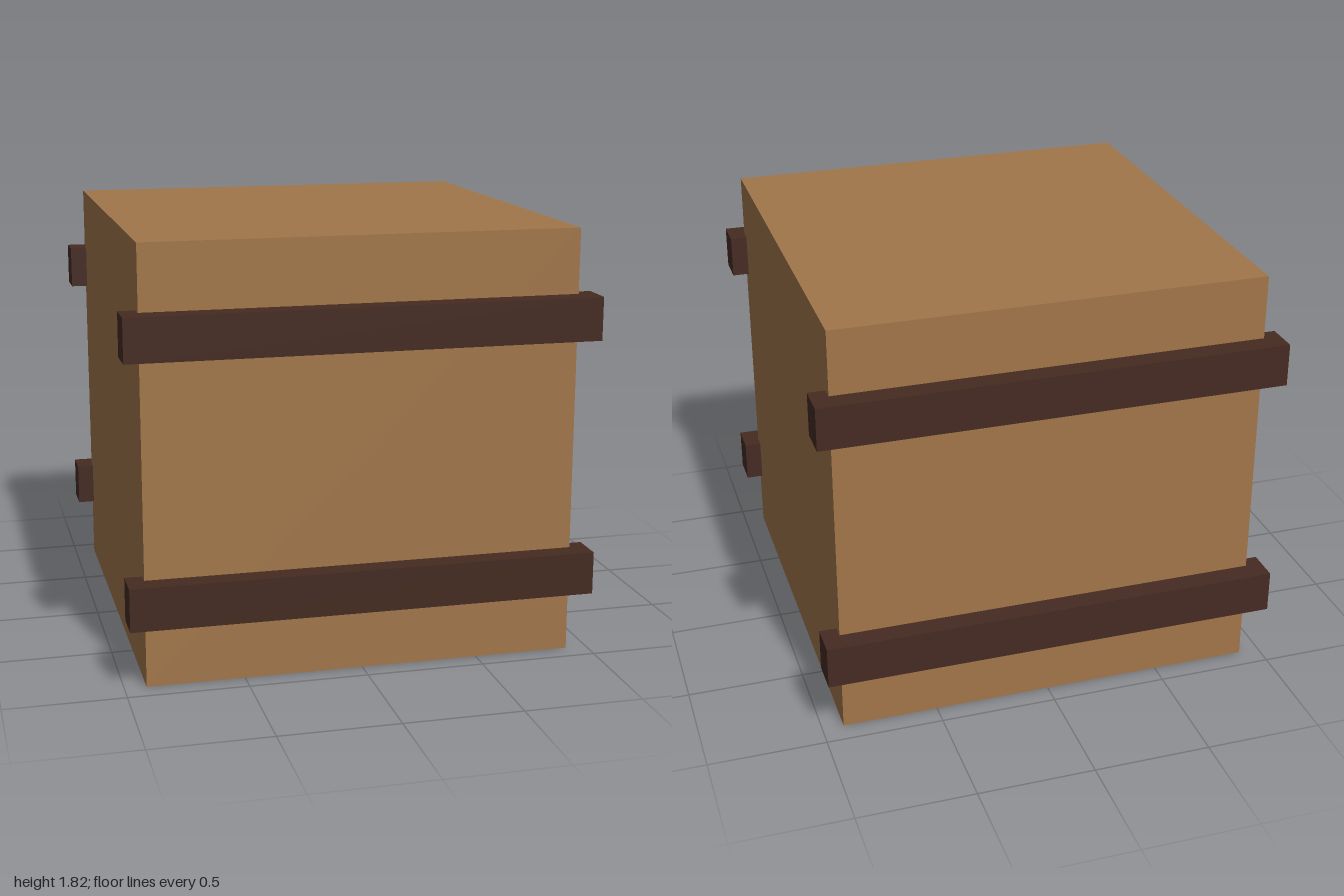
import * as THREE from 'three';

const SIZE = 1.818;

export function createModel() {
  const crate = new THREE.Group();
  crate.name = 'crate';

  const wood = new THREE.MeshStandardMaterial({ color: 0xa1764a });
  wood.name = 'light wood';
  const darkWood = new THREE.MeshStandardMaterial({ color: 0x452b22 });
  darkWood.name = 'dark wood';

  // Main box
  const body = new THREE.Mesh(new THREE.BoxGeometry(SIZE, SIZE, SIZE), wood);
  body.name = 'crateBody';
  body.position.y = SIZE / 2;
  crate.add(body);

  // Two battens across the front and two across the back, wrapping the corners
  const battenGeometry = new THREE.BoxGeometry(1.964, 0.182, 0.145);
  for (const [side, sign] of [['front', 1], ['back', -1]]) {
    for (const [level, offset] of [['Lower', -0.545], ['Upper', 0.545]]) {
      const batten = new THREE.Mesh(battenGeometry, darkWood);
      batten.name = `${side}${level}Batten`;
      batten.position.set(0, SIZE / 2 + offset, sign * 0.9275);
      crate.add(batten);
    }
  }

  return crate;
}
